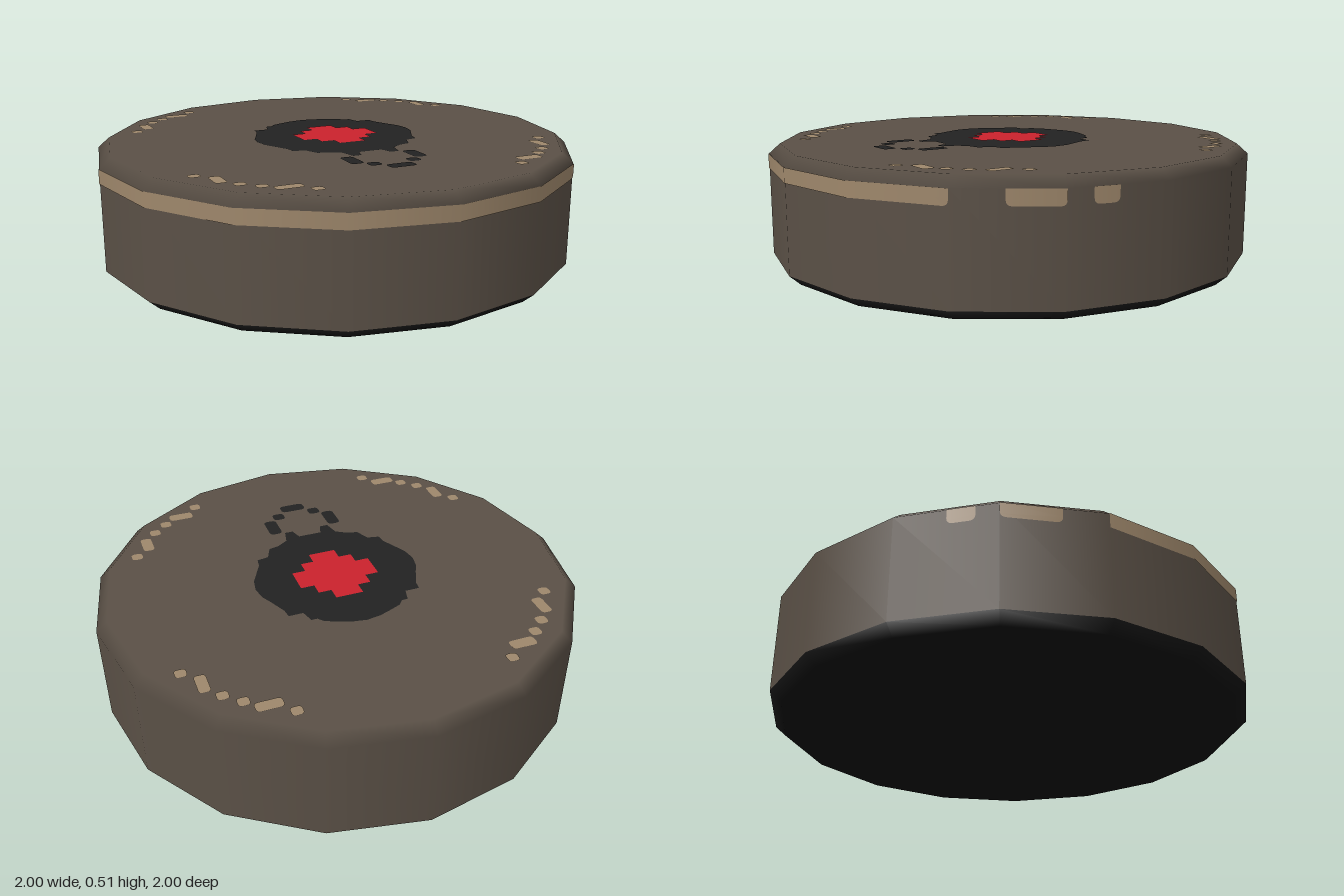
import * as THREE from 'three';
import { mergeGeometries } from 'three/addons/utils/BufferGeometryUtils.js';

const SIDES = 16, STEP = Math.PI * 2 / SIDES;
const paint = (name, color) => {
  const m = new THREE.MeshStandardMaterial({ color });
  m.name = name;
  return m;
};

// Faceted outline with normals that round off the bevels
function turned(profile) {
  const g = new THREE.LatheGeometry(profile.map(p => new THREE.Vector2(...p)), SIDES);
  const p = g.attributes.position, n = g.attributes.normal;
  for (let i = 0; i < p.count; i++) {
    const x = p.getX(i), y = p.getY(i), z = p.getZ(i), r = Math.hypot(x, z);
    if (y > 0.48) n.setXYZ(i, 0, 1, 0);
    else if (y < 0.02) n.setXYZ(i, 0, -1, 0);
    else n.setXYZ(i, x / r, 0, z / r);
  }
  return g;
}

// Flat paint on the top face, drawn in (x, z)
function flat(shape, y) {
  return new THREE.ShapeGeometry(shape, 4).rotateX(-Math.PI / 2).translate(0, y, 0);
}

// Rounded rectangle centred on (x, z)
function spot(x, z, w, h) {
  const s = new THREE.Shape(), r = Math.min(w, h) * 0.35;
  const x0 = x - w / 2, x1 = x + w / 2, y0 = -z - h / 2, y1 = -z + h / 2;
  s.moveTo(x0 + r, y0).lineTo(x1 - r, y0).quadraticCurveTo(x1, y0, x1, y0 + r)
    .lineTo(x1, y1 - r).quadraticCurveTo(x1, y1, x1 - r, y1)
    .lineTo(x0 + r, y1).quadraticCurveTo(x0, y1, x0, y1 - r)
    .lineTo(x0, y0 + r).quadraticCurveTo(x0, y0, x0 + r, y0);
  return s;
}

// Stripe piece on one facet, from fraction a to b, with optional rounded lower ends
function stripePiece(facet, a, b, roundA, roundB) {
  const ra = roundA ? 0.06 : 0, rb = roundB ? 0.06 : 0, lo = 0.4, hi = 0.46;
  const s = new THREE.Shape();
  s.moveTo(a, hi).lineTo(a, lo + ra * 0.4);
  if (ra) s.quadraticCurveTo(a, lo, a + ra, lo);
  s.lineTo(b - rb, lo);
  if (rb) s.quadraticCurveTo(b, lo, b, lo + rb * 0.4);
  s.lineTo(b, hi);
  const g = new THREE.ShapeGeometry(s, 4);
  const p = g.attributes.position, n = g.attributes.normal;
  const t0 = facet * STEP, t1 = t0 + STEP, R = 1.003;
  for (let i = 0; i < p.count; i++) {
    const t = p.getX(i);
    const x = R * THREE.MathUtils.lerp(Math.sin(t0), Math.sin(t1), t);
    const z = R * THREE.MathUtils.lerp(Math.cos(t0), Math.cos(t1), t);
    const r = Math.hypot(x, z);
    p.setXYZ(i, x, p.getY(i), z);
    n.setXYZ(i, x / r, 0, z / r);
  }
  return g;
}

export function createModel() {
  const group = new THREE.Group();
  const shell = paint('brown shell', 0x5a5046), base = paint('black base', 0x111111);
  const dark = paint('charcoal', 0x222222), red = paint('red', 0xcb222d), tan = paint('tan', 0x9e876b);
  const add = (name, geometry, material) => {
    const m = new THREE.Mesh(geometry, material);
    m.name = name;
    group.add(m);
  };

  // Disc body and underside
  add('body', turned([[1, 0.04], [1, 0.46], [0.955, 0.5], [0, 0.5]]), shell);
  add('underside', turned([[0, 0], [0.955, 0], [1, 0.04]]), base);

  // Central stepped patch with two short prongs toward the front
  const back = [[0, -0.35], [0.06, -0.34], [0.1, -0.325], [0.16, -0.3], [0.18, -0.275],
    [0.205, -0.275], [0.22, -0.22], [0.28, -0.22], [0.285, -0.18], [0.32, -0.1], [0.34, -0.06]];
  const front = [[0.35, 0], [0.34, 0.06], [0.32, 0.1], [0.285, 0.17], [0.28, 0.21], [0.23, 0.22],
    [0.205, 0.28], [0.16, 0.29], [0.115, 0.32], [0.1, 0.385], [0.065, 0.385], [0.05, 0.335]];
  const half = [...back, ...front];
  const outline = [...half, ...half.slice(1).reverse().map(([x, z]) => [-x, z])];
  const patch = new THREE.Shape(outline.map(([x, z]) => new THREE.Vector2(x, -z)));
  add('centrePatch', flat(patch, 0.503), dark);

  // Dotted loop in front of the patch
  const loop = [spot(0, 0.588, 0.11, 0.055)];
  for (const s of [-1, 1]) loop.push(spot(s * 0.137, 0.447, 0.055, 0.115), spot(s * 0.084, 0.53, 0.052, 0.05));
  add('dottedLoop', mergeGeometries(loop.map(s => flat(s, 0.503))), dark);

  // Red button made of stepped rows
  const q = [[0.058, 0.17], [0.058, 0.113], [0.113, 0.113], [0.113, 0.058], [0.17, 0.058]];
  const r = [...q].reverse();
  const steps = [...q, ...r.map(([x, y]) => [x, -y]), ...q.map(([x, y]) => [-x, -y]), ...r.map(([x, y]) => [-x, y])];
  add('redButton', flat(new THREE.Shape(steps.map(([x, y]) => new THREE.Vector2(x + 0.004, y))), 0.506), red);

  // Worn flecks near the rim, one arc per quarter
  const flecks = [];
  for (const sx of [-1, 1]) for (const sz of [-1, 1]) {
    for (const [x, z, w, h] of [[0.42, 0.753, 0.046, 0.046], [0.5, 0.69, 0.105, 0.05],
      [0.58, 0.643, 0.046, 0.046], [0.64, 0.587, 0.046, 0.046],
      [0.692, 0.5, 0.046, 0.1], [0.752, 0.417, 0.046, 0.046]]) {
      flecks.push(flat(spot(sx * x + 0.004, sz * z, w, h), 0.503));
    }
  }
  add('rimFlecks', mergeGeometries(flecks), tan);

  // Stripe round the front, breaking into dashes at both ends
  const stripe = [];
  for (let f = -4; f < 2; f++) stripe.push(stripePiece(f, 0, 1, false, f === 1));
  stripe.push(stripePiece(2, 0.48, 1, true, true), stripePiece(3, 0.25, 0.5, true, true));
  stripe.push(stripePiece(-5, 0, 0.57, true, true), stripePiece(-6, 0.51, 0.78, true, true));
  add('sideStripe', mergeGeometries(stripe), tan);

  return group;
}
